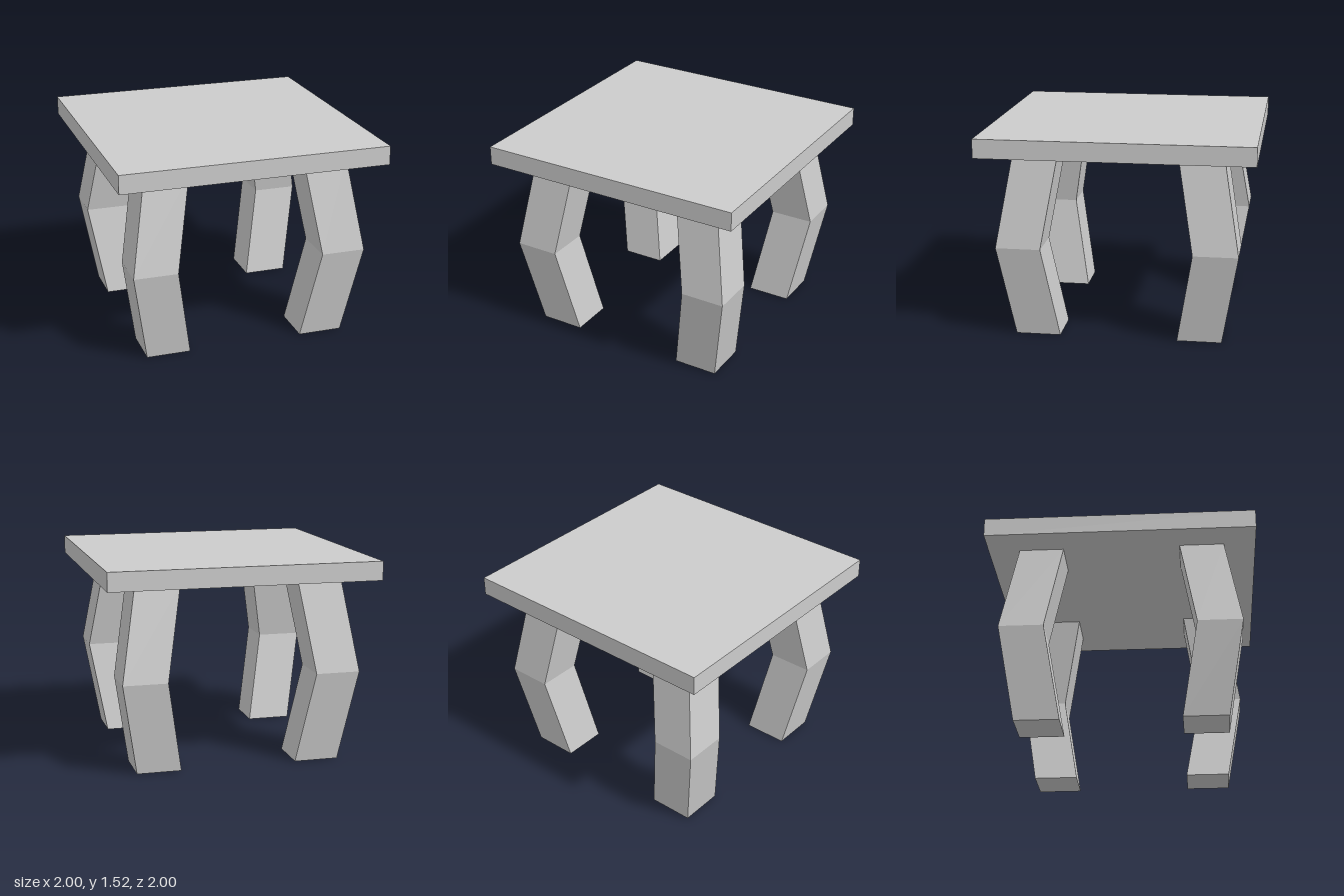
import * as THREE from 'three';

const LEG_HEIGHT = 1.38;
const LEG_WIDTH = 0.33;
const LEG_OFFSET = 0.6; // leg centre at floor and tabletop
const KNEE_SHIFT = 0.118; // outward bend at mid height
const TOP_HEIGHT = 1.52;

const material = new THREE.MeshStandardMaterial({ color: 0xcccccc, flatShading: true });

// Square leg whose middle ring is pushed outward along both axes
function createLeg(name, sx, sz) {
  const geometry = new THREE.BoxGeometry(LEG_WIDTH, LEG_HEIGHT, LEG_WIDTH, 1, 2, 1);
  const pos = geometry.attributes.position;
  for (let i = 0; i < pos.count; i++) {
    if (Math.abs(pos.getY(i)) < 0.01) {
      pos.setX(i, pos.getX(i) + sx * KNEE_SHIFT);
      pos.setZ(i, pos.getZ(i) + sz * KNEE_SHIFT);
    }
  }
  geometry.computeVertexNormals();
  const leg = new THREE.Mesh(geometry, material);
  leg.name = name;
  leg.position.set(sx * LEG_OFFSET, LEG_HEIGHT / 2, sz * LEG_OFFSET);
  return leg;
}

export function createModel() {
  const table = new THREE.Group();
  table.name = 'table';

  // Square slab top
  const thickness = TOP_HEIGHT - LEG_HEIGHT;
  const top = new THREE.Mesh(new THREE.BoxGeometry(2, thickness, 2), material);
  top.name = 'tabletop';
  top.position.y = LEG_HEIGHT + thickness / 2;
  table.add(top);

  // Four bent legs
  for (const [side, sx] of [['Left', 1], ['Right', -1]]) {
    for (const [end, sz] of [['front', 1], ['back', -1]]) {
      table.add(createLeg(`${end}${side}Leg`, sx, sz));
    }
  }
  return table;
}
